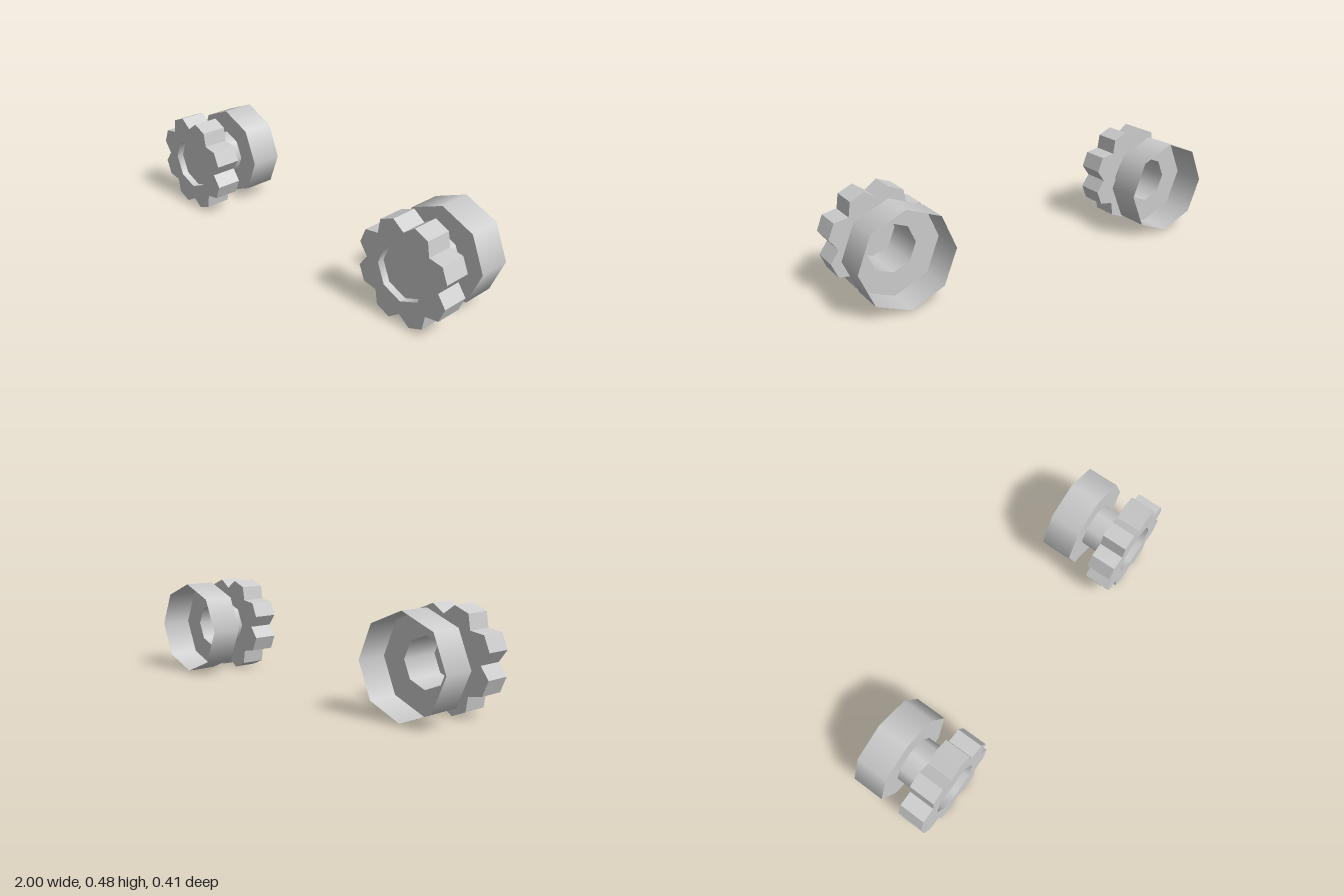
import * as THREE from 'three';
import { toCreasedNormals } from 'three/addons/utils/BufferGeometryUtils.js';

const SIDES = 8;
const material = new THREE.MeshStandardMaterial({ color: 0xcccccc, side: THREE.DoubleSide });

function part(name, geometry) {
  const mesh = new THREE.Mesh(geometry, material);
  mesh.name = name;
  return mesh;
}

// Open eight-sided tube along z
function tube(name, radius, z0, z1) {
  const g = new THREE.CylinderGeometry(radius, radius, z1 - z0, SIDES, 1, true);
  g.rotateX(Math.PI / 2).translate(0, 0, (z0 + z1) / 2);
  return part(name, g);
}

// Flat eight-sided plate facing z, with an optional hole
function plate(name, inner, outer, z) {
  const g = inner > 0
    ? new THREE.RingGeometry(inner, outer, SIDES)
    : new THREE.CircleGeometry(outer, SIDES);
  return part(name, g.translate(0, 0, z));
}

// Lobed grip with eight teeth and an octagonal opening
function gripGeometry(hole) {
  const at = (deg, r) => {
    const a = THREE.MathUtils.degToRad(deg);
    return new THREE.Vector2(r * Math.cos(a), r * Math.sin(a));
  };
  const outline = [], opening = [];
  for (let i = 0; i < SIDES; i++) {
    const a = i * 45;
    outline.push(at(a, 0.2), at(a + 13.5, 0.249), at(a + 31.5, 0.249));
    opening.push(at(-a, hole));
  }
  const shape = new THREE.Shape(outline);
  shape.holes.push(new THREE.Path(opening));
  const g = new THREE.ExtrudeGeometry(shape, { depth: 0.13, bevelEnabled: false });
  return toCreasedNormals(g.translate(0, 0, 0.073), 0.9);
}

function createKnob(name, x) {
  const knob = new THREE.Group();
  knob.name = name;
  const stem = 0.119, recess = 0.134, rim = 0.237;
  knob.add(
    part('grip', gripGeometry(recess)),
    plate('gripFace', 0, recess, 0.168),
    plate('gripBack', stem, recess, 0.073),
    tube('stem', stem, -0.041, 0.168),
    plate('cupFloor', stem, rim, -0.041),
    tube('cupWall', rim, -0.203, -0.041),
  );
  knob.position.set(x, 0.242, 0);
  return knob;
}

export function createModel() {
  const model = new THREE.Group();
  model.name = 'knobPair';
  model.add(createKnob('leftKnob', 0.758), createKnob('rightKnob', -0.758));
  return model;
}
